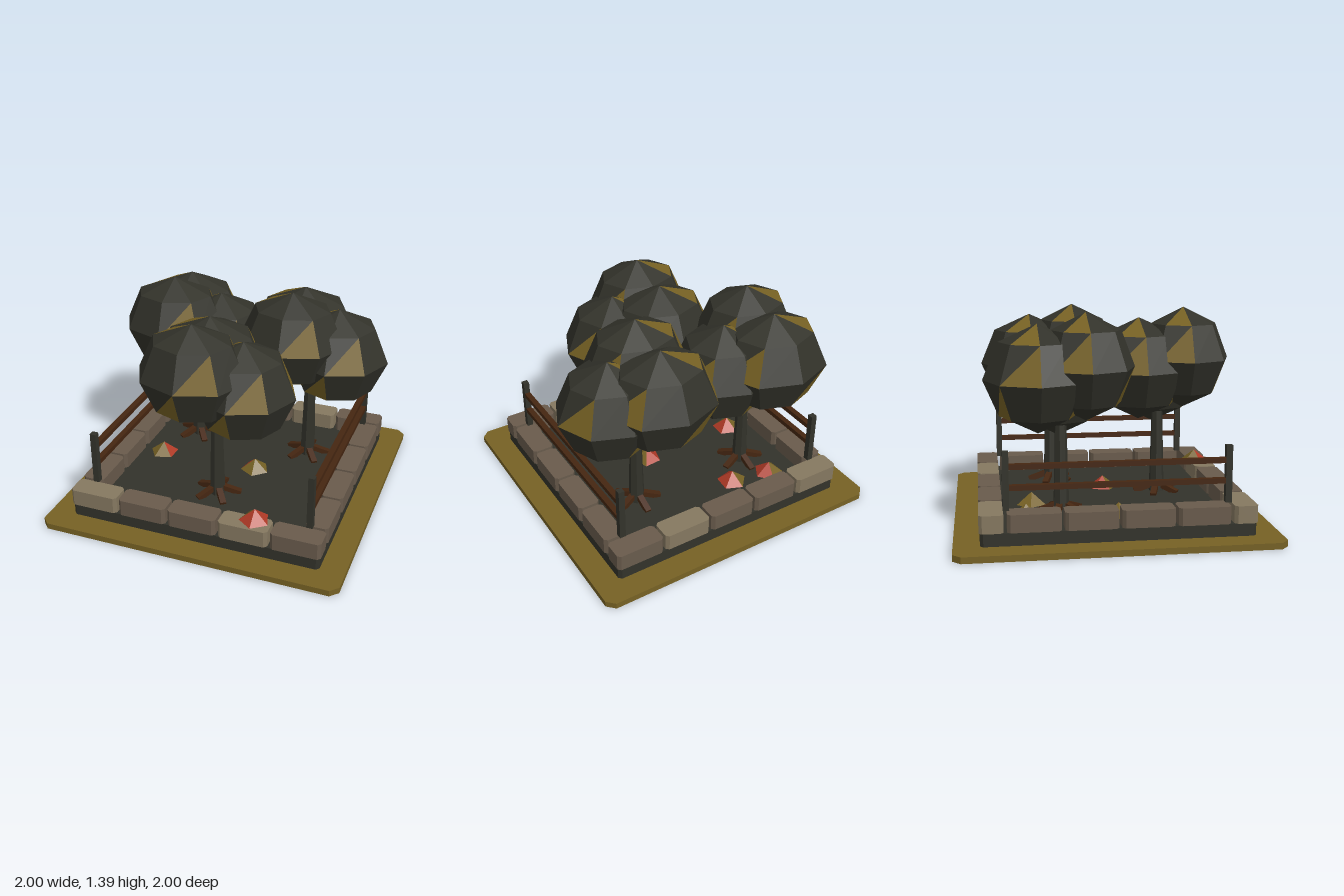
import * as THREE from 'three';

const paint = (name, color) => {
  const m = new THREE.MeshStandardMaterial({ color, flatShading: true });
  m.name = name;
  return m;
};

export function createModel() {
  const dark = paint('dark moss', 0x32322a);
  const gold = paint('gold', 0x766124);
  const stone = paint('stone', 0x695b4c);
  const paleStone = paint('pale stone', 0x857860);
  const wood = paint('wood', 0x452611);
  const red = paint('red leaf', 0xb03a26);
  const root = new THREE.Group();
  root.name = 'garden';

  const add = (parent, name, geo, mat, x = 0, y = 0, z = 0) => {
    const mesh = new THREE.Mesh(geo, mat);
    mesh.name = name;
    mesh.position.set(x, y, z);
    parent.add(mesh);
    return mesh;
  };

  // Slab with its four upright edges cut off, standing on y = 0
  const slab = (w, h, d, c) => {
    const a = w / 2, b = d / 2;
    const pts = [[-a + c, -b], [a - c, -b], [a, -b + c], [a, b - c],
      [a - c, b], [-a + c, b], [-a, b - c], [-a, -b + c]];
    const shape = new THREE.Shape(pts.map(p => new THREE.Vector2(...p)));
    return new THREE.ExtrudeGeometry(shape, { depth: h, bevelEnabled: false }).rotateX(-Math.PI / 2);
  };

  // Base plate and raised bed
  add(root, 'basePlate', slab(2, 0.04, 2, 0.05), gold);
  add(root, 'bed', slab(1.68, 0.08, 1.68, 0.02), dark, 0, 0.04, 0);

  // Stone border
  const across = slab(0.325, 0.11, 0.147, 0.02);
  const along = slab(0.147, 0.11, 0.325, 0.02);
  for (const s of [-1, 1]) {
    for (let i = 0; i < 5; i++)
      add(root, 'borderStone', across, i % 3 === 0 ? paleStone : stone, (i - 2) * 0.342, 0.12, s * 0.773);
    for (let i = 0; i < 4; i++)
      add(root, 'borderStone', along, stone, s * 0.773, 0.12, (i - 1.5) * 0.344);
  }

  // Side fences
  for (const s of [-1, 1]) {
    const fence = new THREE.Group();
    fence.name = 'fence';
    root.add(fence);
    for (const z of [-0.682, 0.682])
      add(fence, 'fencePost', new THREE.BoxGeometry(0.04, 0.36, 0.04), dark, s * 0.733, 0.41, z);
    for (const y of [0.367, 0.495])
      add(fence, 'fenceRail', new THREE.BoxGeometry(0.038, 0.032, 1.34), wood, s * 0.733, y, 0);
  }

  // Faceted leaf ball; the listed columns of each ring carry a gold facet
  const goldColumns = [[4], [1, 4, 7], [2, 5], [1, 6]];
  const leafBall = (rx, ry, rz) => {
    const N = 8, rings = [[1, 0], [0.68, 0.715], [0, 1], [-0.66, 0.715], [-1, 0]];
    const at = (r, k) => {
      const a = k * Math.PI * 2 / N, [h, w] = rings[r];
      return [Math.cos(a) * w * rx, h * ry, Math.sin(a) * w * rz];
    };
    const plain = [], bright = [];
    for (let r = 0; r < 4; r++) for (let k = 0; k < N; k++) {
      const t0 = at(r, k), t1 = at(r, k + 1), b0 = at(r + 1, k), b1 = at(r + 1, k + 1);
      const out = goldColumns[r].includes(k) ? bright : plain;
      if (r === 3) out.push(...t0, ...t1, ...b1);
      else out.push(...t0, ...b1, ...b0);
      if (r === 1 || r === 2) plain.push(...t0, ...t1, ...b1);
    }
    const g = new THREE.BufferGeometry();
    g.setAttribute('position', new THREE.Float32BufferAttribute([...plain, ...bright], 3));
    g.addGroup(0, plain.length / 3, 0);
    g.addGroup(plain.length / 3, bright.length / 3, 1);
    g.computeVertexNormals();
    return g;
  };

  // Trees: trunk, spreading roots and three leaf balls
  const balls = [
    { geo: leafBall(0.345, 0.338, 0.33), p: [0.182, 0.917, 0] },
    { geo: leafBall(0.36, 0.335, 0.305), p: [-0.097, 1.055, 0.15] },
    { geo: leafBall(0.38, 0.338, 0.335), p: [-0.097, 0.985, -0.147] },
  ];
  for (const [x, z] of [[-0.418, -0.322], [0.418, -0.322], [0, 0.377]]) {
    const tree = new THREE.Group();
    tree.name = 'tree';
    tree.position.set(x, 0, z);
    root.add(tree);
    add(tree, 'trunk', new THREE.CylinderGeometry(0.033, 0.053, 0.72, 7), dark, 0, 0.48, 0);
    for (let i = 0; i < 5; i++) {
      const g = new THREE.BoxGeometry(0.14, 0.035, 0.04).rotateZ(-0.35).translate(0.09, 0.145, 0);
      add(tree, 'treeRoot', g.rotateY(i * Math.PI * 0.4 + 0.3), wood);
    }
    for (const b of balls) add(tree, 'leafBall', b.geo, [dark, gold], ...b.p);
  }

  // Leaf piles: five-sided cones with red and gold faces
  const pile = (x, y, z, turn, reds) => {
    const cone = new THREE.ConeGeometry(0.1, 0.08, 5, 1, true).toNonIndexed();
    const sides = cone.attributes.position.count / 5;
    cone.clearGroups();
    for (let i = 0; i < 5; i++) cone.addGroup(i * sides, sides, i < reds ? 0 : 1);
    add(root, 'leafPile', cone, [red, gold], x, y + 0.04, z).rotation.y = turn;
  };
  pile(0.39, 0.23, 0.735, -1.25, 3);
  pile(-0.55, 0.12, 0.03, 0.9, 2);
  pile(0.14, 0.12, 0.02, 2.6, 2);
  pile(-0.23, 0.12, -0.5, -0.4, 3);
  pile(-0.5, 0.12, -0.55, 0.4, 2);

  return root;
}
